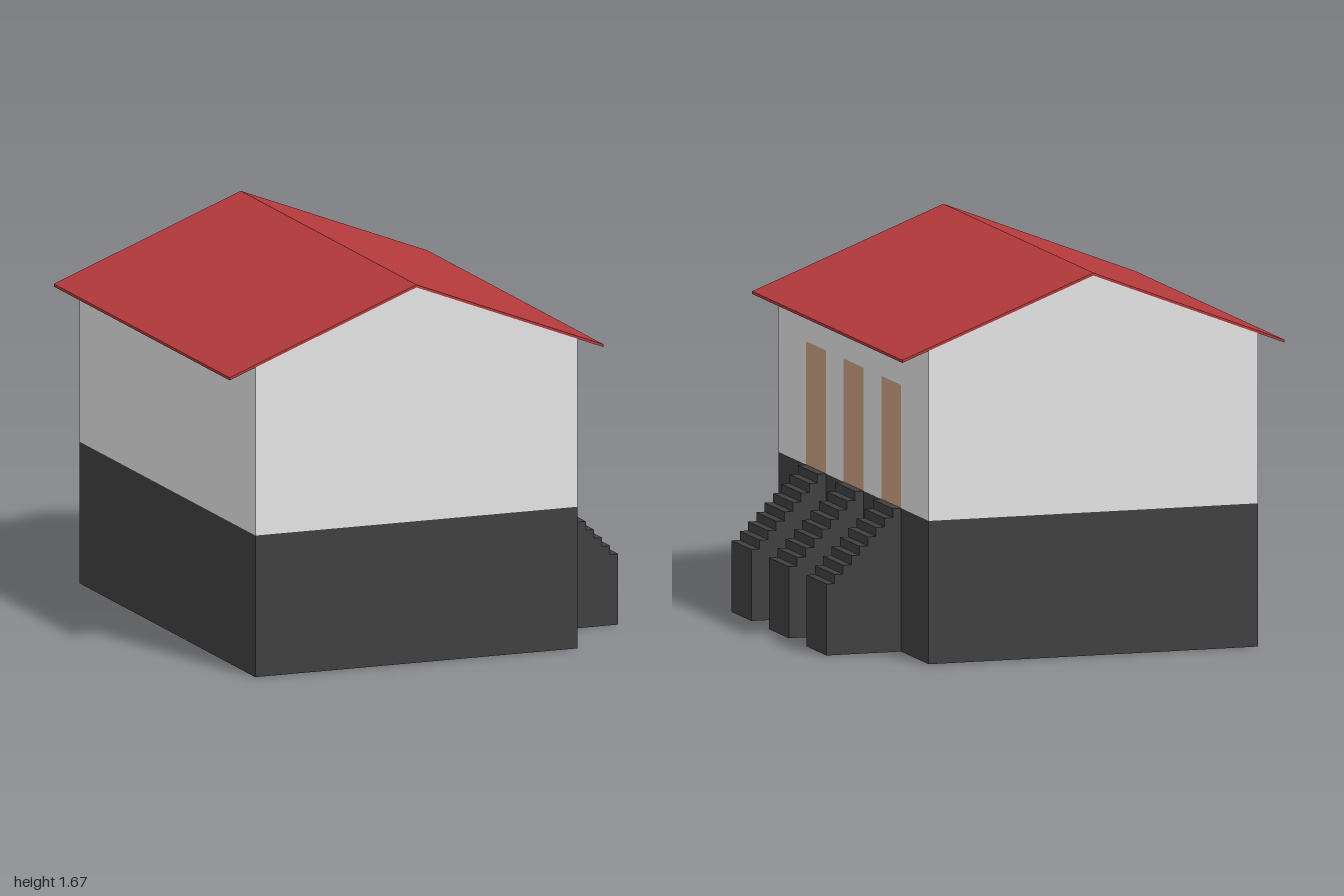
import * as THREE from 'three';

const CX = -0.11, HALF = 0.75, BASE = 0.625;   // house centre line, half width, plinth height
const RIDGE = 1.657, SLOPE = 0.387, THICK = 0.012;
const EAVE = RIDGE - HALF * SLOPE;             // wall height at the sides
const DOOR_Z = [-0.5, 0, 0.5], DOOR_W = 0.264, DOOR_TOP = 1.163;

function mat(name, color) {
  const m = new THREE.MeshStandardMaterial({ color, side: THREE.DoubleSide });
  m.name = name;
  return m;
}

const polygon = (pts) => new THREE.Shape(pts.map(([x, y]) => new THREE.Vector2(x, y)));
const rect = (w, y0, y1) => polygon([[-w / 2, y0], [w / 2, y0], [w / 2, y1], [-w / 2, y1]]);

// Solid staircase profile, left open underneath and against the house
function stairGeometry() {
  const steps = 9, x0 = CX + HALF, run = 0.34 / steps, drop = (BASE - 0.312) / (steps - 1);
  const pts = [[x0, 0]];
  for (let i = steps - 1; i >= 0; i--) {
    const y = BASE - i * drop;
    if (i === steps - 1) pts.push([x0 + steps * run, 0]);
    pts.push([x0 + (i + 1) * run, y], [x0 + i * run, y]);
  }
  const g = new THREE.ExtrudeGeometry(polygon(pts), { depth: DOOR_W, bevelEnabled: false });
  const p = g.attributes.position, n = g.attributes.normal, pos = [], nor = [];
  for (let i = 0; i < p.count; i += 3) {
    if (n.getY(i) < -0.9 || n.getX(i) < -0.9) continue;
    for (let k = i; k < i + 3; k++) {
      pos.push(p.getX(k), p.getY(k), p.getZ(k) - DOOR_W / 2);
      nor.push(n.getX(k), n.getY(k), n.getZ(k));
    }
  }
  const out = new THREE.BufferGeometry();
  out.setAttribute('position', new THREE.Float32BufferAttribute(pos, 3));
  out.setAttribute('normal', new THREE.Float32BufferAttribute(nor, 3));
  return out;
}

export function createModel() {
  const model = new THREE.Group();
  model.name = 'house';
  const wall = mat('whitePlaster', 0xe4e4e4);
  const stone = mat('darkStone', 0x404040);
  const red = mat('redRoof', 0xb63a3c);
  const wood = mat('tanDoor', 0xcda283);

  function add(name, geometry, material, x = 0, z = 0, turn = 0) {
    const mesh = new THREE.Mesh(geometry, material);
    mesh.name = name;
    mesh.position.set(x, 0, z);
    mesh.rotation.y = turn;
    model.add(mesh);
  }

  // Gable ends and the plinth below them
  const gable = new THREE.ShapeGeometry(polygon([
    [-HALF, BASE], [HALF, BASE], [HALF, EAVE], [0, RIDGE], [-HALF, EAVE]]));
  const plinthEnd = new THREE.ShapeGeometry(rect(HALF * 2, 0, BASE));
  for (const [side, z, turn] of [['front', 1, 0], ['back', -1, Math.PI]]) {
    add(side + 'Gable', gable, wall, CX, z, turn);
    add(side + 'Plinth', plinthEnd, stone, CX, z, turn);
  }

  // Long walls: the left one has three door openings
  const doorWall = rect(2, BASE, EAVE);
  for (const z of DOOR_Z) {
    const a = z - DOOR_W / 2, b = z + DOOR_W / 2;
    doorWall.holes.push(new THREE.Path(
      [[a, BASE + 1e-4], [a, DOOR_TOP], [b, DOOR_TOP], [b, BASE + 1e-4]].map(([x, y]) => new THREE.Vector2(x, y))));
  }
  const plinthSide = new THREE.ShapeGeometry(rect(2, 0, BASE));
  const Q = Math.PI / 2;
  add('leftWall', new THREE.ShapeGeometry(doorWall), wall, CX + HALF, 0, Q);
  add('rightWall', new THREE.ShapeGeometry(rect(2, BASE, EAVE)), wall, CX - HALF, 0, -Q);
  add('leftPlinth', plinthSide, stone, CX + HALF, 0, Q);
  add('rightPlinth', plinthSide, stone, CX - HALF, 0, -Q);

  // Doors, each with its own staircase
  const door = new THREE.ShapeGeometry(rect(DOOR_W, BASE, DOOR_TOP));
  const stairs = stairGeometry();
  for (const z of DOOR_Z) {
    add('door', door, wood, CX + HALF, z, Q);
    add('staircase', stairs, stone, 0, z);
  }

  // Thin pitched roof with overhanging eaves
  const reach = 0.87, low = RIDGE - reach * SLOPE;
  const roof = new THREE.ExtrudeGeometry(polygon([
    [-reach, low], [0, RIDGE], [reach, low],
    [reach, low + THICK], [0, RIDGE + THICK], [-reach, low + THICK]]), { depth: 2, bevelEnabled: false });
  roof.translate(0, 0, -1);
  add('roof', roof, red, CX);

  return model;
}
